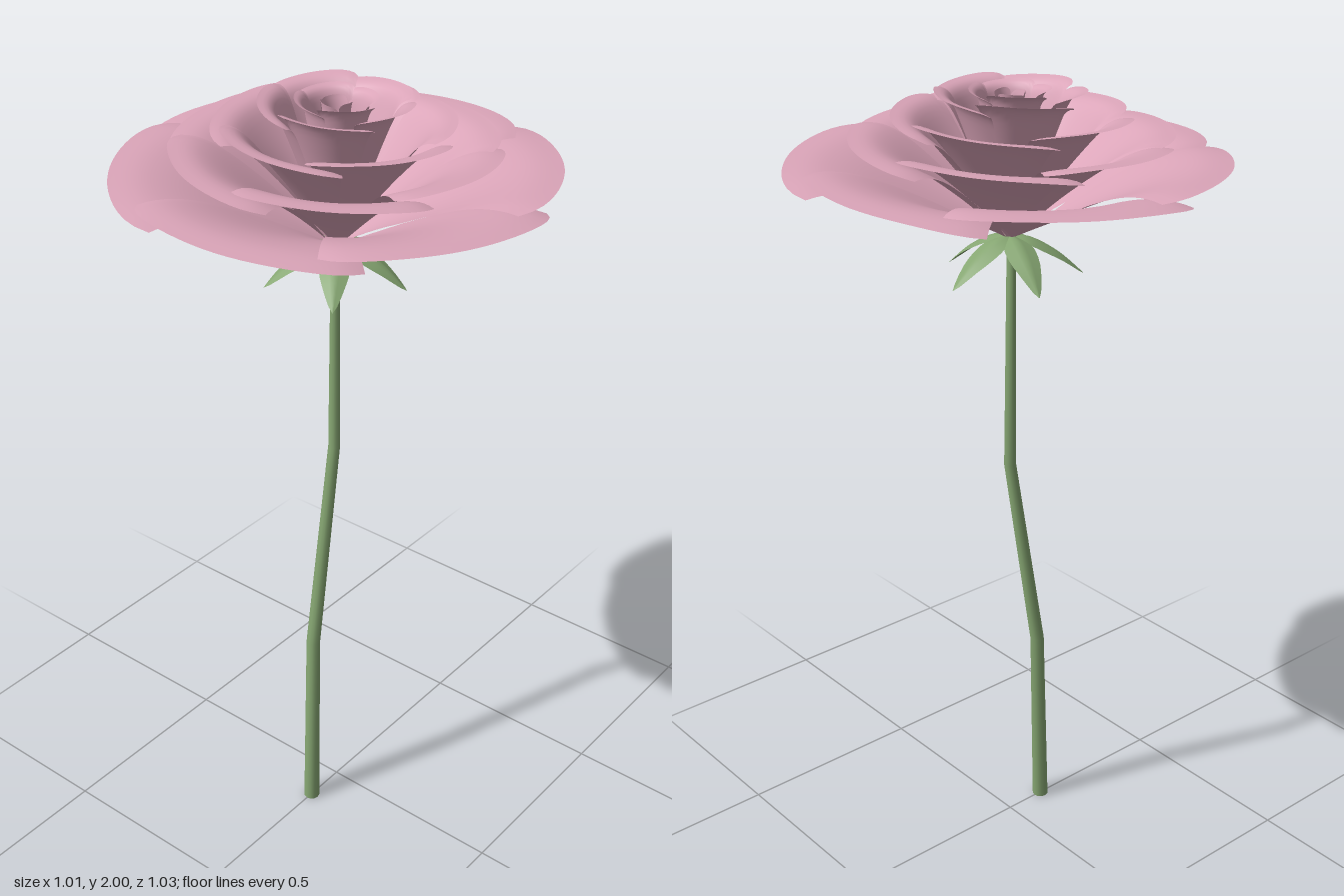
import * as THREE from 'three';

const pink = new THREE.MeshStandardMaterial({ color: 0xdba5b9, side: THREE.DoubleSide });
pink.name = 'petal pink';
const green = new THREE.MeshStandardMaterial({ color: 0x86a672, side: THREE.DoubleSide });
green.name = 'leaf green';

// Smooth grid surface: fn(u, v) with u in -1..1 across and v in 0..1 along
function surface(fn, nu, nv) {
  const pos = [], idx = [];
  for (let j = 0; j <= nv; j++)
    for (let i = 0; i <= nu; i++) pos.push(...fn((i / nu) * 2 - 1, j / nv));
  for (let j = 0; j < nv; j++)
    for (let i = 0; i < nu; i++) {
      const a = j * (nu + 1) + i, b = a + 1, c = a + nu + 1, d = c + 1;
      idx.push(a, b, c, b, d, c);
    }
  const g = new THREE.BufferGeometry();
  g.setAttribute('position', new THREE.Float32BufferAttribute(pos, 3));
  g.setIndex(idx);
  g.computeVertexNormals();
  return g;
}

// Small seeded generator for natural variation, -1..1
let seed = 7;
const vary = () => {
  seed = (seed * 16807) % 2147483647;
  return (seed / 2147483647) * 2 - 1;
};

// Rings of petals, outermost first: profile is [radius, height] from base to rim
const BASE = 1.65;
const LAYERS = [
  { n: 6, start: 51, half: 36, tilt: 0.012, profile: [[0.02, 0], [0.14, 0.065], [0.31, 0.145], [0.42, 0.178], [0.505, 0.18]] },
  { n: 6, start: 22, half: 37, tilt: 0.012, profile: [[0.018, 0], [0.11, 0.09], [0.23, 0.185], [0.31, 0.23], [0.375, 0.238]] },
  { n: 5, start: 40, half: 44, tilt: 0.012, profile: [[0.016, 0], [0.09, 0.11], [0.17, 0.215], [0.225, 0.275], [0.275, 0.288]] },
  { n: 5, start: 10, half: 43, tilt: 0.01, profile: [[0.014, 0], [0.065, 0.13], [0.11, 0.255], [0.14, 0.322], [0.175, 0.338]] },
  { n: 4, start: 30, half: 52, tilt: 0.006, profile: [[0.012, 0], [0.042, 0.14], [0.062, 0.26], [0.075, 0.325], [0.095, 0.342]] },
  { n: 3, start: 70, half: 62, tilt: 0.004, profile: [[0.01, 0], [0.022, 0.14], [0.03, 0.25], [0.032, 0.31], [0.036, 0.335]] },
];

function petal(layer, angle) {
  const curve = new THREE.SplineCurve(layer.profile.map(([r, y]) => new THREE.Vector2(r, y)));
  const half = THREE.MathUtils.degToRad(layer.half);
  const size = 1 + vary() * 0.02, side = vary() * 0.03;
  const rim = layer.profile[4][0];
  return surface((u, v) => {
    // Rounded rim, narrow claw at the base
    const reach = v * (1 - 0.16 * Math.abs(u) ** 5 + side * u);
    const p = curve.getPoint(Math.min(reach, 1));
    const spread = 0.5 + 0.5 * Math.min(1, v / 0.35) ** 0.8;
    const a = angle + u * half * spread;
    // One flank lies over its neighbour, the corners curl out
    const curl = u ** 4 * v ** 4;
    const r = p.x * size * (1 - 0.03 * u * v) + curl * rim * 0.04;
    const y = BASE + p.y + layer.tilt * u * v - curl * rim * 0.035;
    return [Math.cos(a) * r, y, Math.sin(a) * r];
  }, 20, 18);
}

function sepal(angle) {
  const curve = new THREE.SplineCurve([[0.006, 1.65], [0.05, 1.643], [0.115, 1.605], [0.175, 1.55]]
    .map(([r, y]) => new THREE.Vector2(r, y)));
  return surface((u, v) => {
    const p = curve.getPoint(v);
    const w = u * (0.006 * (1 - v) + 0.034 * Math.sin(Math.PI * v ** 0.85));
    const y = p.y - Math.abs(w) * 0.35;
    return [Math.cos(angle) * p.x - Math.sin(angle) * w, y, Math.sin(angle) * p.x + Math.cos(angle) * w];
  }, 6, 10);
}

// Bent, tapering stem: a cylinder whose rings are moved onto four joints
function stem() {
  const joints = [
    [-0.11, 0, 0, 0.021], [-0.085, 0.52, -0.01, 0.018],
    [0.022, 1.07, -0.025, 0.015], [-0.003, 1.655, 0, 0.011],
  ];
  const g = new THREE.CylinderGeometry(1, 1, 3, 12, 3);
  const p = g.attributes.position;
  for (let i = 0; i < p.count; i++) {
    const [x, y, z, r] = joints[Math.round(p.getY(i) + 1.5)];
    p.setXYZ(i, x + p.getX(i) * r, y, z + p.getZ(i) * r);
  }
  g.computeVertexNormals();
  return g;
}

export function createModel() {
  const model = new THREE.Group();
  model.name = 'flower';
  const add = (parent, name, geometry, material) => {
    const mesh = new THREE.Mesh(geometry, material);
    mesh.name = name;
    parent.add(mesh);
  };

  add(model, 'stem', stem(), green);

  const calyx = new THREE.Group();
  calyx.name = 'calyx';
  for (let i = 0; i < 5; i++) add(calyx, 'sepal', sepal((i / 5) * Math.PI * 2), green);
  model.add(calyx);

  LAYERS.forEach((layer, k) => {
    const ring = new THREE.Group();
    ring.name = `petalRing${k + 1}`;
    for (let i = 0; i < layer.n; i++) {
      const angle = THREE.MathUtils.degToRad(layer.start + (i * 360) / layer.n + vary() * 2);
      add(ring, 'petal', petal(layer, angle), pink);
    }
    model.add(ring);
  });
  return model;
}
